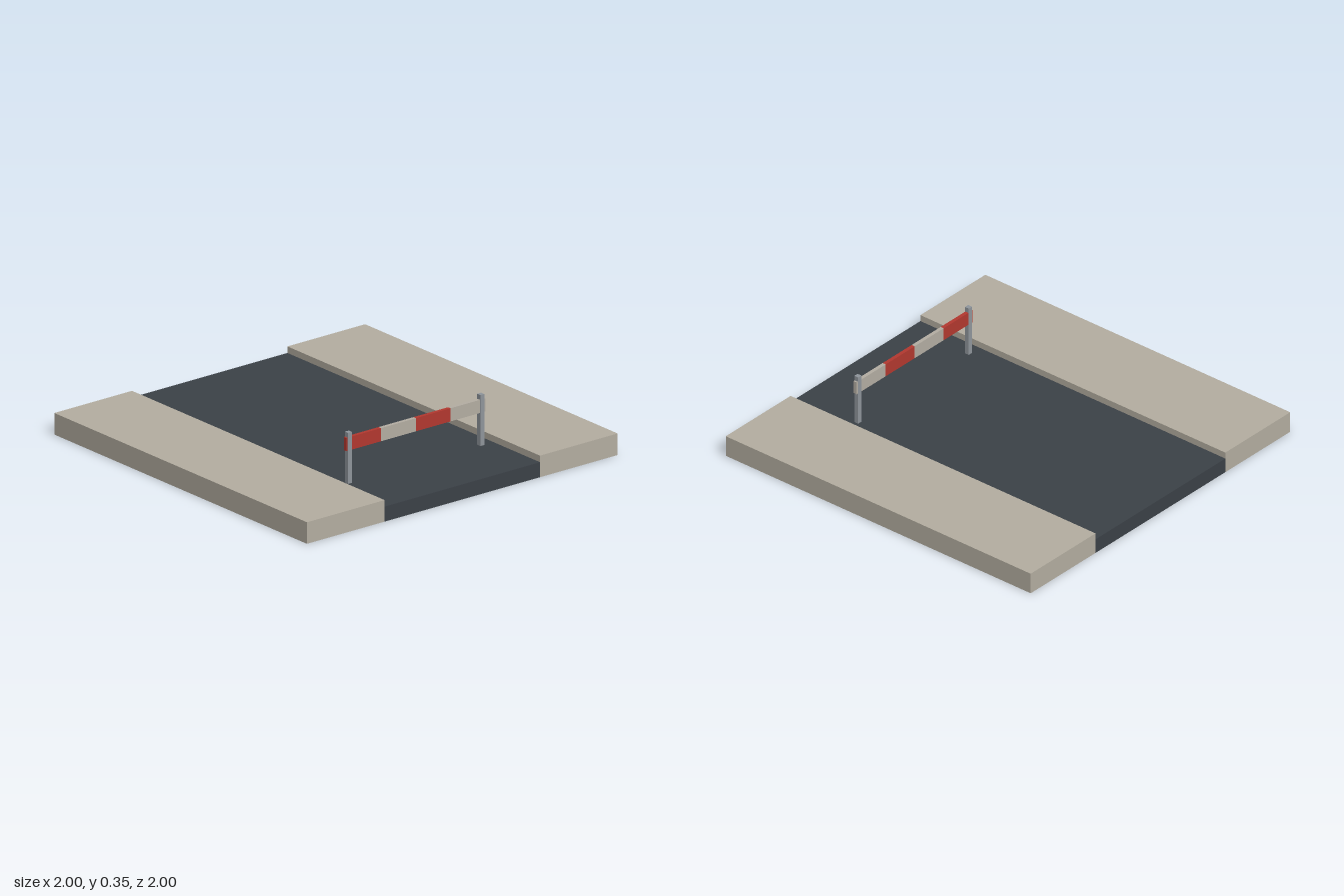
import * as THREE from 'three';

const mat = (name, color, side = THREE.FrontSide) => {
  const m = new THREE.MeshStandardMaterial({ color, side });
  m.name = name;
  return m;
};

// Box without the listed faces (0 +x, 1 -x, 2 +y, 3 -y, 4 +z, 5 -z)
function openBox(w, h, d, omit) {
  const g = new THREE.BoxGeometry(w, h, d);
  const index = Array.from(g.index.array);
  g.setIndex(index.filter((_, i) => !omit.includes(Math.floor(i / 6))));
  g.clearGroups();
  return g;
}

export function createModel() {
  const model = new THREE.Group();
  model.name = 'roadWithBarrier';
  const concrete = mat('concrete', 0xb3ada0, THREE.DoubleSide);
  const asphalt = mat('asphalt', 0x3b4147, THREE.DoubleSide);
  const red = mat('barrierRed', 0xb2382f);
  const pale = mat('barrierPale', 0xb3ada2);
  const steel = mat('steel', 0x8f959b);

  const add = (parent, name, geometry, material, x, y, z) => {
    const mesh = new THREE.Mesh(geometry, material);
    mesh.name = name;
    mesh.position.set(x, y, z);
    parent.add(mesh);
  };

  // Road deck and raised pavements, hollow underneath
  const roadH = 0.08, paveH = 0.115;
  add(model, 'road', openBox(1, roadH, 2, [0, 1, 3]), asphalt, 0, roadH / 2, 0);
  for (const [name, s] of [['leftPavement', 1], ['rightPavement', -1]]) {
    add(model, name, openBox(0.5, paveH, 2, [3]), concrete, s * 0.75, paveH / 2, 0);
  }

  // Barrier across the road
  const barrier = new THREE.Group();
  barrier.name = 'barrier';
  barrier.position.z = 0.622;
  model.add(barrier);

  // Alternating board sections
  const section = 0.2235;
  for (let i = 0; i < 4; i++) {
    add(barrier, 'boardSection' + (i + 1), new THREE.BoxGeometry(section, 0.07, 0.02),
      i % 2 ? pale : red, (i - 1.5) * section, 0.291, 0);
  }

  // Posts
  const postTop = 0.352;
  for (const [name, s] of [['leftPost', 1], ['rightPost', -1]]) {
    add(barrier, name, new THREE.BoxGeometry(0.025, postTop - roadH, 0.025), steel,
      s * 0.426, (postTop + roadH) / 2, 0);
  }
  return model;
}
